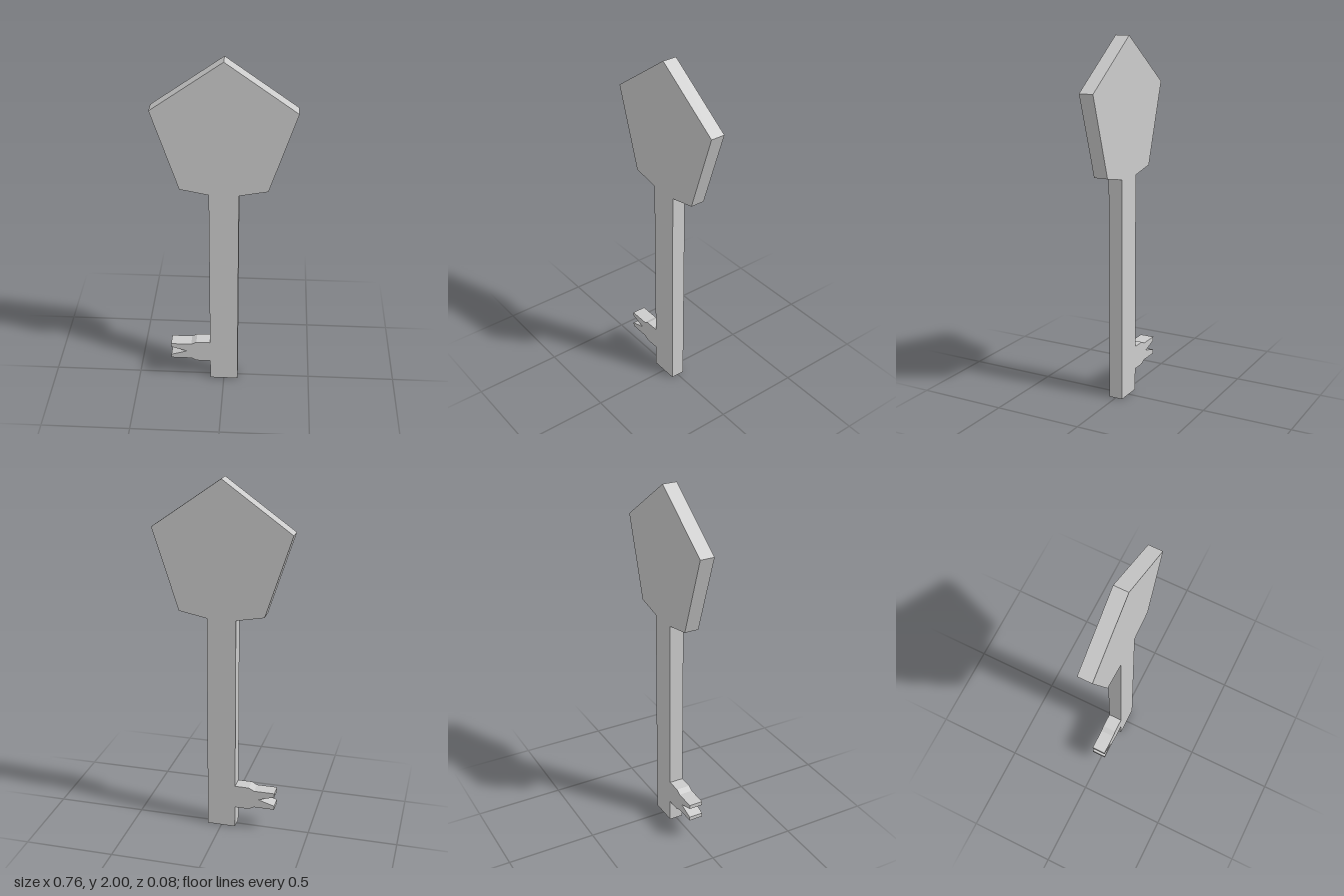
import * as THREE from 'three';

const DEPTH = 0.08;

// Right half of the pentagonal bow, from the neck up to the tip
const bowHalf = [[0.08, 1.25], [0.235, 1.28], [0.38, 1.73]];

// Upper half of the forked bit, as offsets from its centre line, shaft to prong
const BIT_Y = 0.193;
const bitHalf = [[-0.08, 0.067], [-0.16, 0.067], [-0.19, 0.051], [-0.307, 0.051], [-0.307, 0.028]];

export function createModel() {
  const group = new THREE.Group();
  group.name = 'key';

  // One continuous outline, anticlockwise from the foot of the shaft
  const outline = [
    [-0.08, 0], [0.08, 0],
    ...bowHalf,
    [0, 2],
    ...bowHalf.map(([x, y]) => [-x, y]).reverse(),
    ...bitHalf.map(([x, d]) => [x, BIT_Y + d]),
    [-0.215, BIT_Y], // notch between the prongs
    ...bitHalf.map(([x, d]) => [x, BIT_Y - d]).reverse(),
  ];
  const shape = new THREE.Shape(outline.map(([x, y]) => new THREE.Vector2(x, y)));

  const geometry = new THREE.ExtrudeGeometry(shape, { depth: DEPTH, bevelEnabled: false });
  geometry.translate(0, 0, -DEPTH / 2);

  const key = new THREE.Mesh(geometry, new THREE.MeshStandardMaterial({ color: 0xcccccc }));
  key.name = 'bowShaftAndBit';
  group.add(key);
  return group;
}
